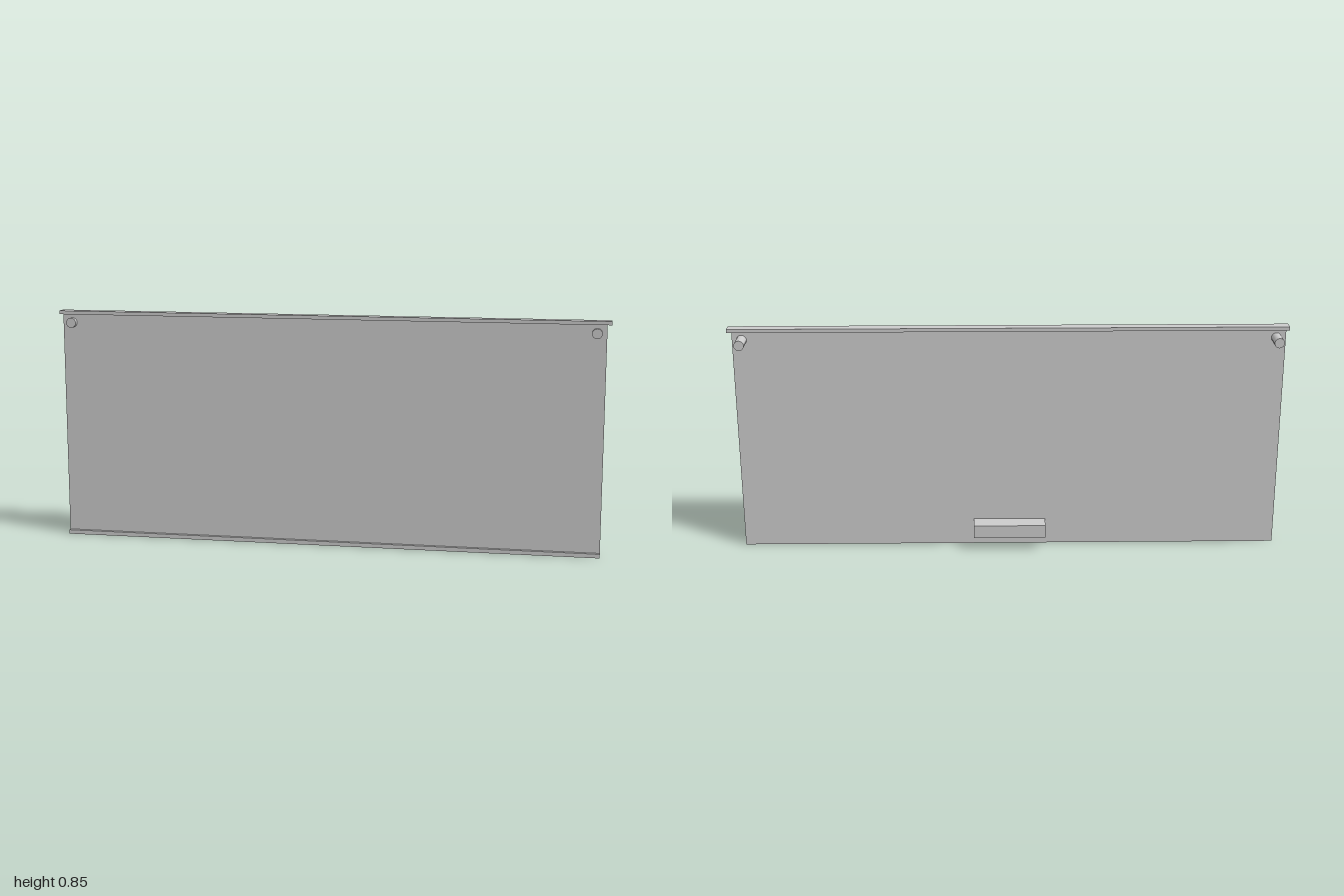
import * as THREE from 'three';

export function createModel() {
  const group = new THREE.Group();
  const material = new THREE.MeshStandardMaterial({ color: 0xcccccc });

  // Box given by its extents on each axis
  const box = (name, [x0, x1], [y0, y1], [z0, z1]) => {
    const mesh = new THREE.Mesh(new THREE.BoxGeometry(x1 - x0, y1 - y0, z1 - z0), material);
    mesh.position.set((x0 + x1) / 2, (y0 + y1) / 2, (z0 + z1) / 2);
    mesh.name = name;
    group.add(mesh);
  };

  const width = [-0.99, 0.984];
  box('panel', width, [0.015, 0.832], [0.02, 0.031]);
  box('topRail', [-1, 1], [0.832, 0.845], [0.006, 0.045]);
  box('bottomRail', width, [0, 0.015], [0.02, 0.044]);
  box('backHandle', [-0.135, 0.129], [0.05, 0.099], [-0.045, 0.02]);

  // Pegs passing through the upper corners of the panel
  for (const side of [-1, 1]) {
    const geometry = new THREE.CylinderGeometry(0.018, 0.018, 0.096, 32).rotateX(Math.PI / 2);
    const peg = new THREE.Mesh(geometry, material);
    peg.position.set(-0.003 + side * 0.953, 0.801, 0);
    peg.name = side > 0 ? 'leftPeg' : 'rightPeg';
    group.add(peg);
  }

  return group;
}
